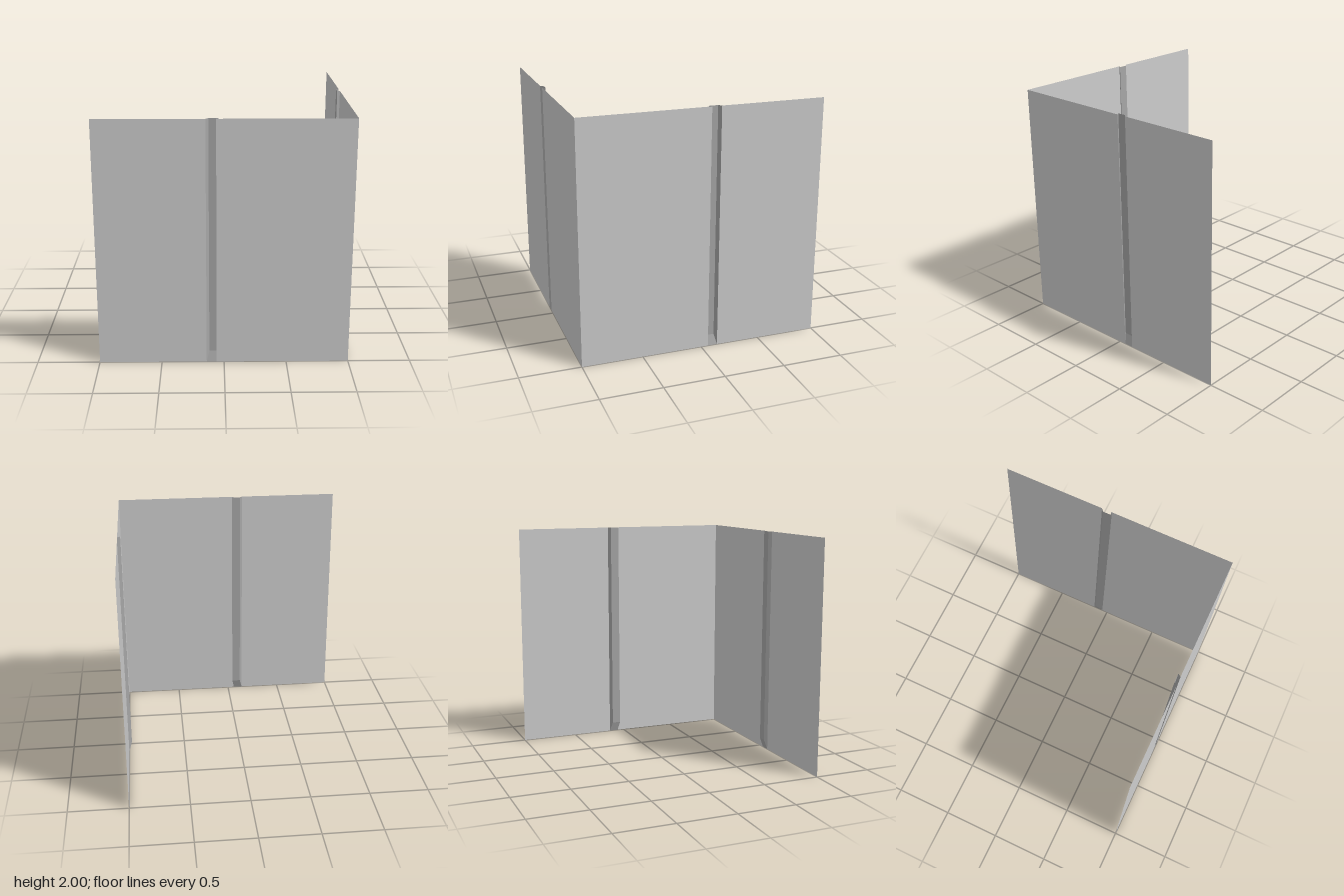
import * as THREE from 'three';

const H = 2;          // wall height
const RAMP = 0.085;   // height of the sloped foot of the groove
const OUTER = 1;      // distance of the wall sheet from the centre
const INNER = 0.975;  // distance of the groove floor

// Flat-shaded sheet from quads; corners are [along, up, outward], counter-clockwise from outside
function sheet(name, quads, material, toSide) {
  const pos = [];
  for (const q of quads) {
    let c = q.map(([u, y, d]) => (toSide ? [d, y, u] : [u, y, d]));
    if (toSide) c = c.reverse(); // swapping x and z mirrors the sheet
    for (const i of [0, 1, 2, 0, 2, 3]) pos.push(...c[i]);
  }
  const g = new THREE.BufferGeometry();
  g.setAttribute('position', new THREE.Float32BufferAttribute(pos, 3));
  g.computeVertexNormals();
  const m = new THREE.Mesh(g, material);
  m.name = name;
  return m;
}

export function createModel() {
  const wallGrey = new THREE.MeshStandardMaterial({ color: 0xcccccc, side: THREE.DoubleSide });
  wallGrey.name = 'wall grey';
  const grooveGrey = new THREE.MeshStandardMaterial({ color: 0xa6a6a6, side: THREE.DoubleSide });
  grooveGrey.name = 'groove grey';

  // Slanted groove: mouth in the wall sheet, floor shifted sideways behind it
  const mouth = [-0.14, -0.06], floor = [-0.118, -0.043];
  const panel = (a, b) => [[a, 0, OUTER], [b, 0, OUTER], [b, H, OUTER], [a, H, OUTER]];
  const panels = [panel(-1, mouth[0]), panel(mouth[1], 1)];
  const cheek = (i) => [
    [mouth[i], 0, OUTER], [floor[i], RAMP, INNER], [floor[i], H, INNER], [mouth[i], H, OUTER],
  ];
  const groove = [
    cheek(0),
    cheek(1).reverse(),
    [[floor[0], RAMP, INNER], [floor[1], RAMP, INNER], [floor[1], H, INNER], [floor[0], H, INNER]],
  ];
  const ramp = [
    [[mouth[0], 0, OUTER], [mouth[1], 0, OUTER], [floor[1], RAMP, INNER], [floor[0], RAMP, INNER]],
  ];

  // The same wall twice, meeting at the front left corner
  const model = new THREE.Group();
  model.name = 'cornerWalls';
  for (const [name, toSide] of [['frontWall', false], ['sideWall', true]]) {
    const wall = new THREE.Group();
    wall.name = name;
    wall.add(
      sheet('wallPanels', panels, wallGrey, toSide),
      sheet('groove', groove, grooveGrey, toSide),
      sheet('grooveRamp', ramp, grooveGrey, toSide),
    );
    model.add(wall);
  }
  return model;
}
